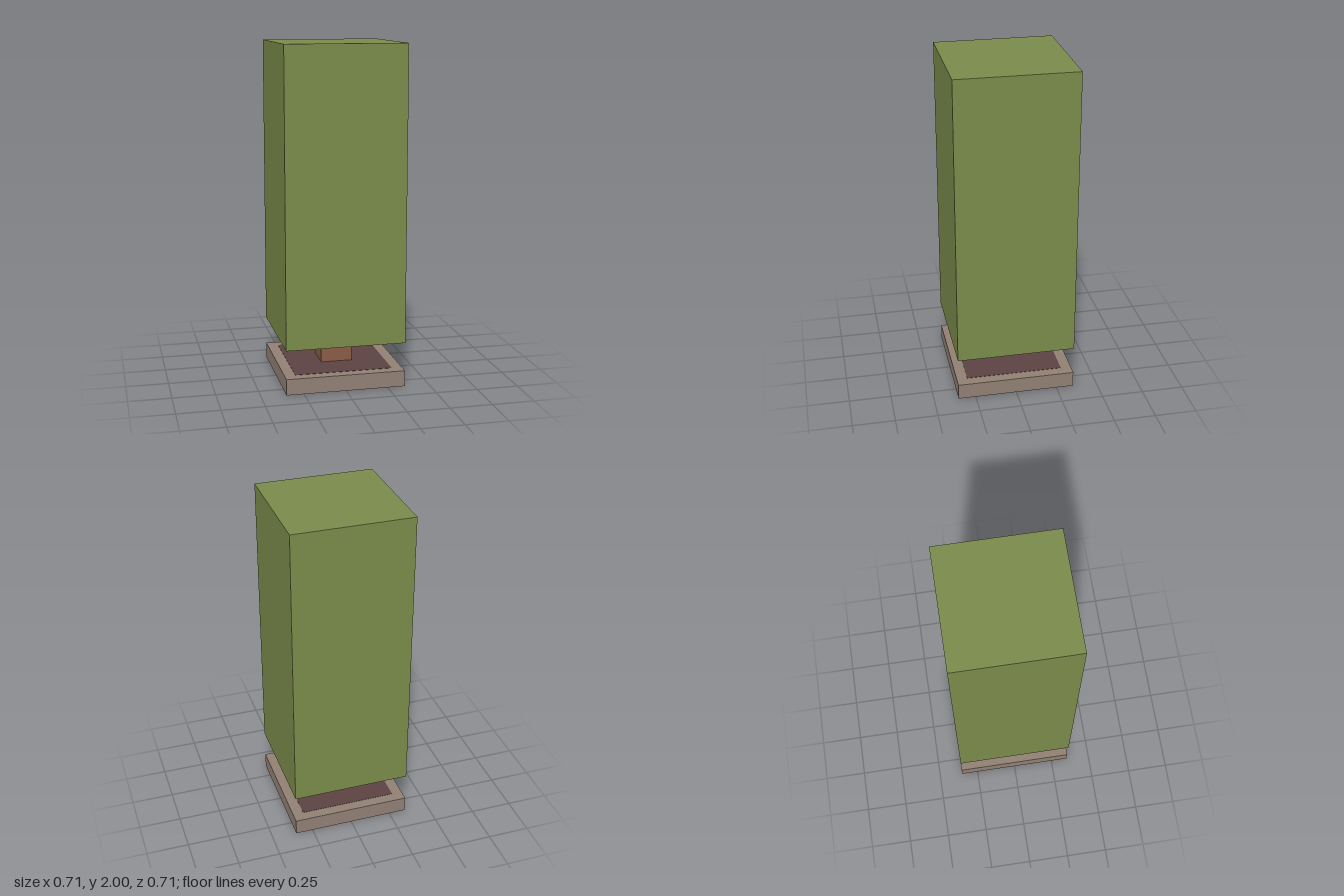
import * as THREE from 'three';

const WIDTH = 0.707;

export function createModel() {
  const tree = new THREE.Group();
  tree.name = 'blockTree';

  // Square block standing between two heights
  function block(name, width, bottom, top, color) {
    const mesh = new THREE.Mesh(
      new THREE.BoxGeometry(width, top - bottom, width),
      new THREE.MeshStandardMaterial({ color, flatShading: true })
    );
    mesh.name = name;
    mesh.position.y = (bottom + top) / 2;
    tree.add(mesh);
  }

  block('planterBase', WIDTH, 0, 0.095, 0x918074);
  // Soil lies flush with the planter rim, a hair above to stay visible
  block('soil', 0.58, 0.05, 0.0965, 0x5d4343);
  block('trunk', 0.187, 0.09, 0.27, 0x8a5c46);
  block('foliage', WIDTH, 0.265, 2, 0x7a8a4a);

  return tree;
}
